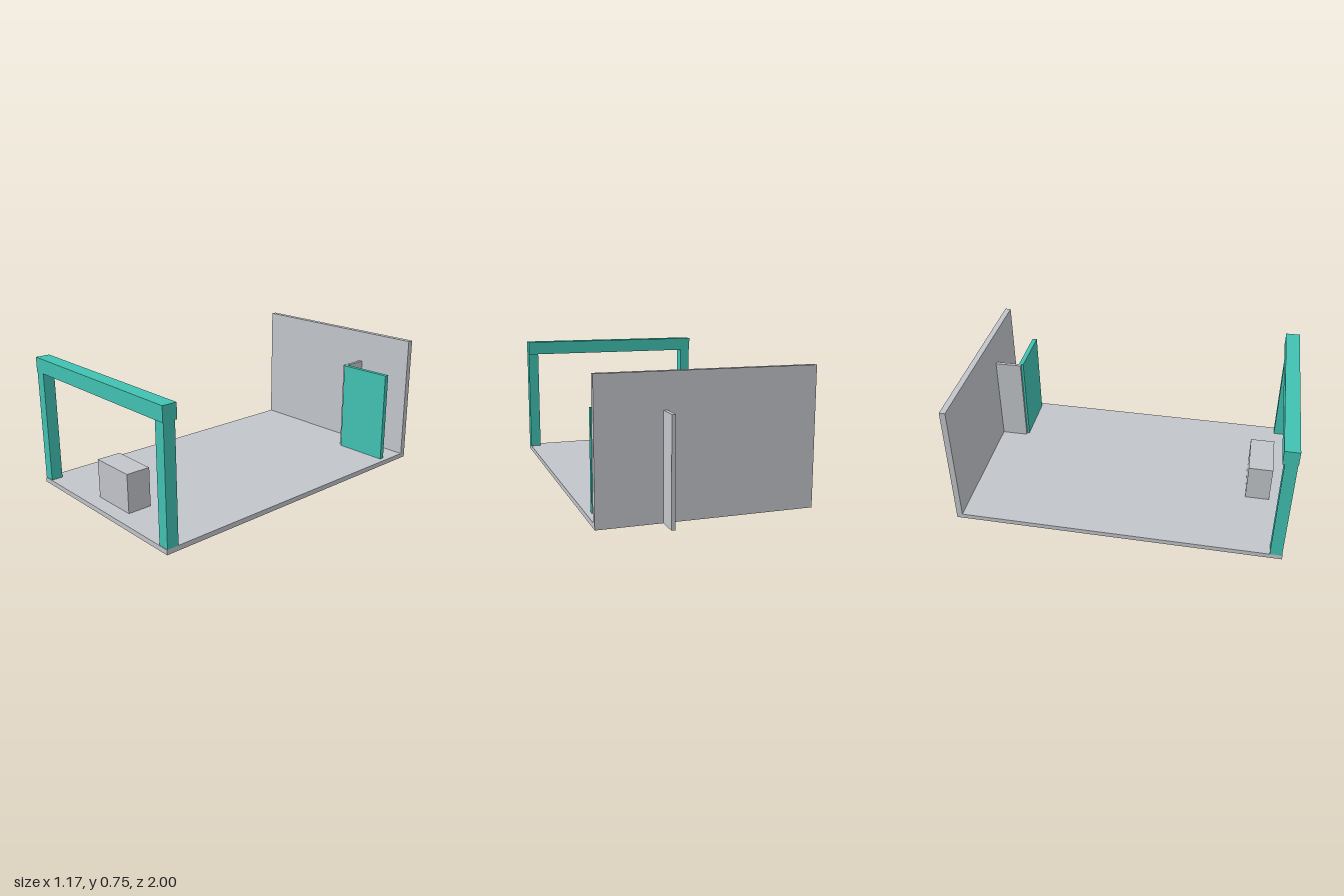
import * as THREE from 'three';

const grey = new THREE.MeshStandardMaterial({ color: 0xc2c5ca });
grey.name = 'light grey';
const teal = new THREE.MeshStandardMaterial({ color: 0x41c2b3 });
teal.name = 'teal';

// Box given by its lower and upper limits on each axis
function block(name, material, [x0, x1], [y0, y1], [z0, z1]) {
  const mesh = new THREE.Mesh(new THREE.BoxGeometry(x1 - x0, y1 - y0, z1 - z0), material);
  mesh.position.set((x0 + x1) / 2, (y0 + y1) / 2, (z0 + z1) / 2);
  mesh.name = name;
  return mesh;
}

export function createModel() {
  const model = new THREE.Group();
  model.name = 'stage';
  const W = 0.587; // half width

  // Floor slab, rear wall and the fin that passes through the wall
  model.add(
    block('floor', grey, [-W, W], [0, 0.028], [-0.85, 1]),
    block('backWall', grey, [-W, W], [0, 0.755], [-0.882, -0.848]),
    block('finWall', grey, [0.22, 0.24], [0, 0.565], [-1, -0.69]),
  );

  // Screen panel joined to the fin, set into the floor
  model.add(block('screenPanel', teal, [0.238, 0.557], [0.005, 0.565], [-0.705, -0.677]));

  // Counter near the entrance
  model.add(block('counter', grey, [-0.14, 0.14], [0.02, 0.252], [0.773, 0.914]));

  // Front portal: two posts and a deeper beam
  const portal = new THREE.Group();
  portal.name = 'frontPortal';
  for (const side of [-1, 1]) {
    const x = side < 0 ? [-W, -0.523] : [0.523, W];
    portal.add(block(side < 0 ? 'rightPost' : 'leftPost', teal, x, [0.028, 0.672], [0.93, 0.997]));
  }
  portal.add(block('beam', teal, [-W, W], [0.672, 0.755], [0.918, 1]));
  model.add(portal);

  return model;
}
